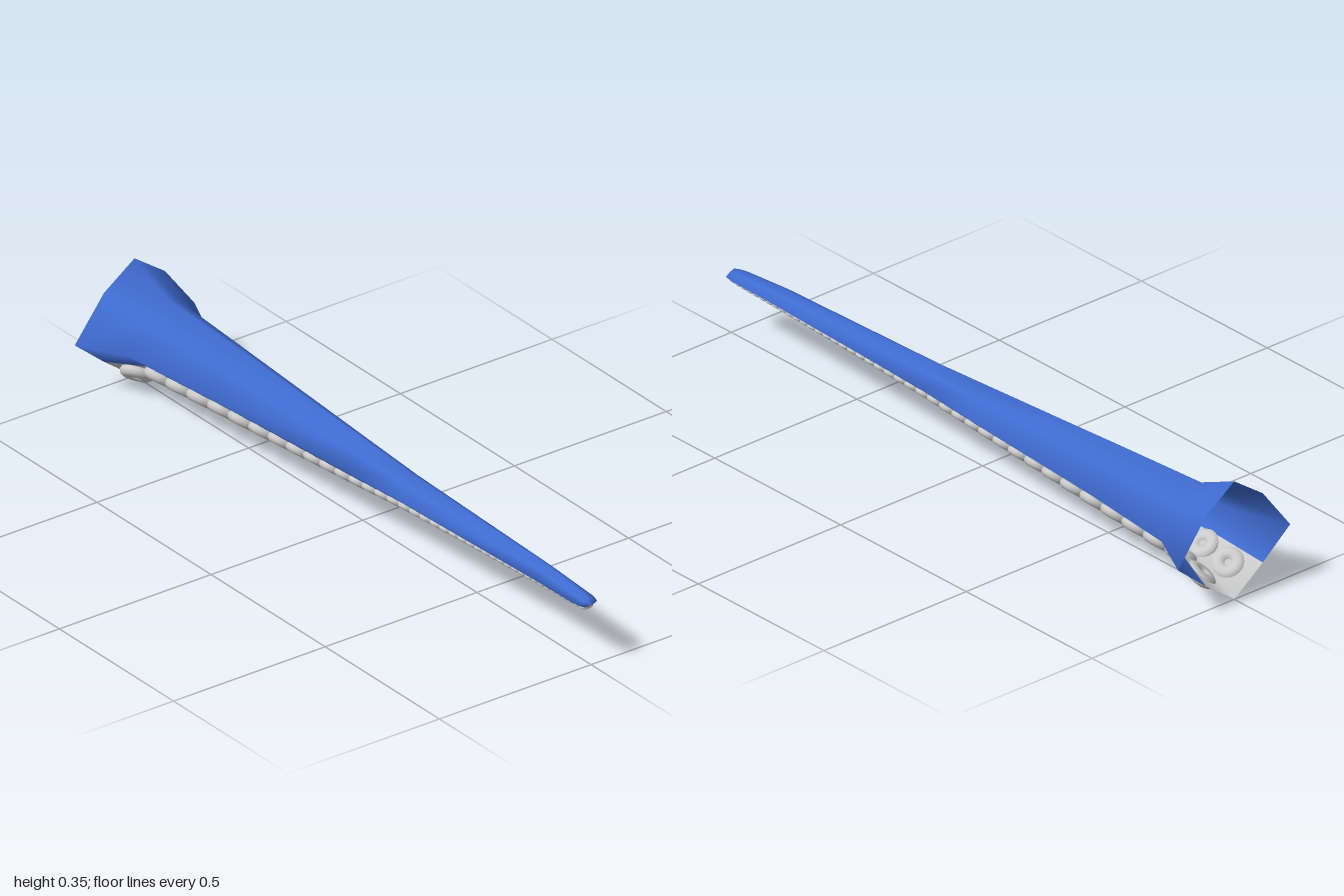
import * as THREE from 'three';

// Cross-sections along the arm: z, half width, centre height, rise above, drop below
const RINGS = [
  [-1, 0.197, 0.155, 0.197, 0.155],
  [-0.86, 0.132, 0.163, 0.13, 0.1],
  [-0.55, 0.105, 0.168, 0.111, 0.085],
  [0, 0.07, 0.175, 0.07, 0.062],
  [0.2, 0.058, 0.178, 0.054, 0.05],
  [0.8, 0.04, 0.182, 0.033, 0.026],
  [0.96, 0.034, 0.18, 0.02, 0.018],
  [0.99, 0.028, 0.179, 0.015, 0.014],
  [1, 0, 0.18, 0, 0],
];
// Sucker spacing along the arm
const SPACING = [[-1, 0.092], [-0.5, 0.085], [0, 0.055], [0.5, 0.034], [1, 0.022]];

// Section outline in unit form, counter-clockwise seen from the tip
const BACK = [[0.51, -0.52], [1, 0], [0.51, 0.64], [0, 1], [-0.51, 0.64], [-1, 0], [-0.51, -0.52]];
const BELLY = [[-0.51, -0.52], [0, -1], [0.51, -0.52]];

function sample(table, z) {
  let i = 0;
  while (i < table.length - 2 && z > table[i + 1][0]) i++;
  const a = table[i], b = table[i + 1];
  const t = (z - a[0]) / (b[0] - a[0]);
  return a.map((v, k) => v + (b[k] - v) * t);
}

function place([u, v], [z, w, y, up, down]) {
  return new THREE.Vector3(u * w, y + v * (v > 0 ? up : down), z);
}

// Skin stretched over one part of the outline, from base to tip
function loft(outline) {
  const pos = [], index = [], n = outline.length;
  RINGS.forEach((ring, i) => {
    outline.forEach((p, j) => {
      pos.push(...place(p, ring).toArray());
      if (i < RINGS.length - 1 && j < n - 1) {
        const a = i * n + j, b = a + 1, c = a + n, d = c + 1;
        index.push(a, b, c, b, d, c);
      }
    });
  });
  const g = new THREE.BufferGeometry();
  g.setAttribute('position', new THREE.Float32BufferAttribute(pos, 3));
  g.setIndex(index);
  g.computeVertexNormals();
  return g;
}

export function createModel() {
  const model = new THREE.Group();
  model.name = 'tentacle';
  const blue = new THREE.MeshStandardMaterial({ color: 0x3f6bd0, side: THREE.DoubleSide });
  const grey = new THREE.MeshStandardMaterial({ color: 0xcccccc, side: THREE.DoubleSide });

  const back = new THREE.Mesh(loft(BACK), blue);
  back.name = 'upperSkin';
  const belly = new THREE.Mesh(loft(BELLY), grey);
  belly.name = 'underside';
  model.add(back, belly);

  // Two rows of ring-shaped suckers, shrinking toward the tip
  const suckerGeo = new THREE.TorusGeometry(0.56, 0.44, 10, 18);
  const suckerMat = new THREE.MeshStandardMaterial({ color: 0xcccccc });
  for (const side of [1, -1]) {
    const row = new THREE.Group();
    row.name = side > 0 ? 'leftSuckers' : 'rightSuckers';
    const mid = (z) => place([side * 0.27, -0.74], sample(RINGS, z));
    for (let z = -0.925; z < 0.985; z += sample(SPACING, z)[1]) {
      const r = sample(SPACING, z)[1] * 0.53;
      const ring = sample(RINGS, z);
      const across = place([side * 0.51, -0.52], ring).sub(place([0, -1], ring));
      const along = mid(z + 0.005).sub(mid(z - 0.005));
      const normal = across.cross(along).multiplyScalar(side).normalize();
      if (normal.y > 0) normal.negate();
      const sucker = new THREE.Mesh(suckerGeo, suckerMat);
      sucker.name = 'sucker';
      sucker.position.copy(mid(z)).addScaledVector(normal, r * 0.2);
      sucker.quaternion.setFromUnitVectors(new THREE.Vector3(0, 0, 1), normal);
      sucker.scale.set(r, r, r * 0.85);
      row.add(sucker);
    }
    model.add(row);
  }
  return model;
}
